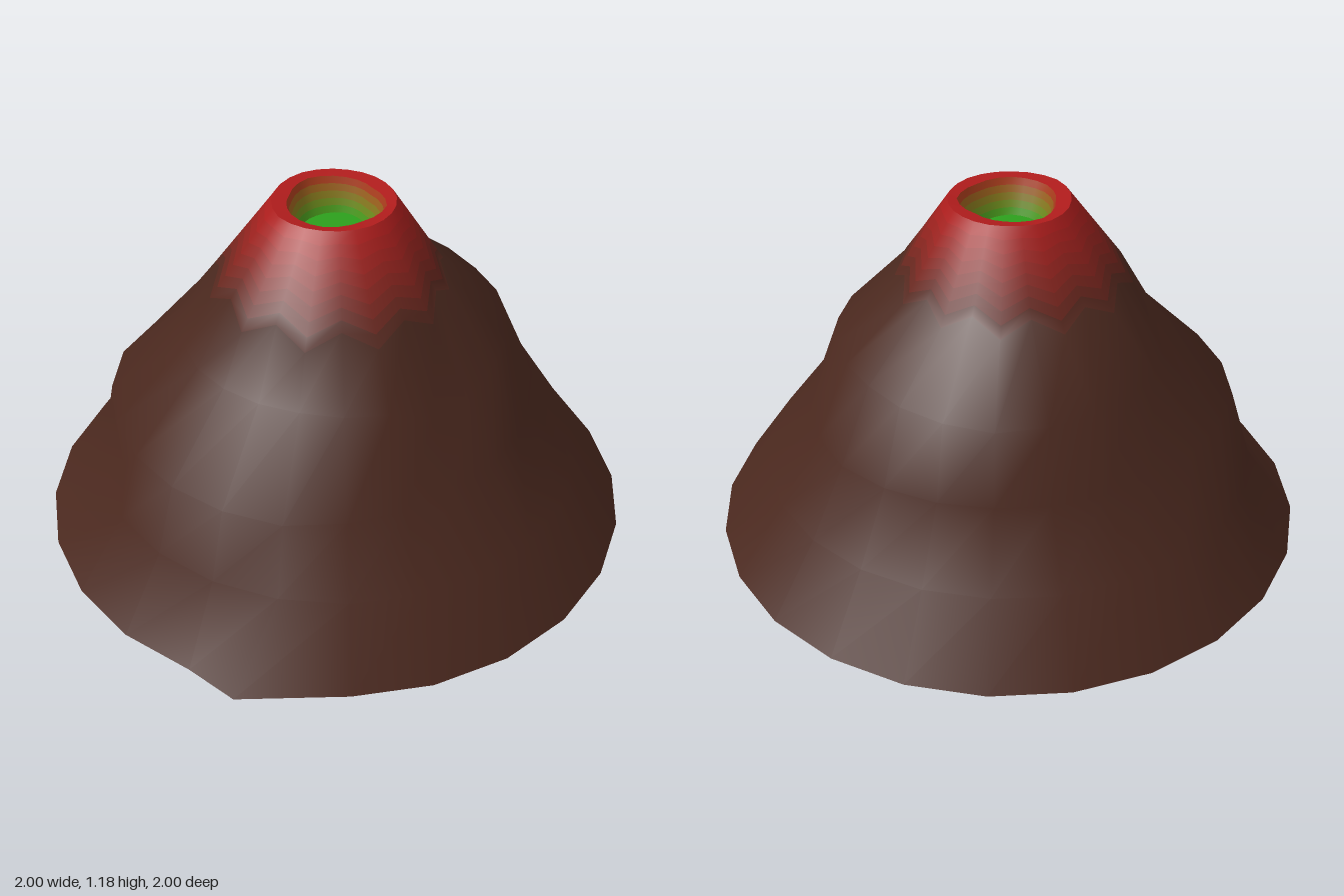
import * as THREE from 'three';

const SIDES = 24;
const BROWN = new THREE.Color(0x4a281e);
const RED = new THREE.Color(0xb01c1c);
const GREEN = new THREE.Color(0x2ca01c);

// One closed ring of points; radii are given for evenly spaced directions, from +x towards +z
function ring(radii, height) {
  return Array.from({ length: SIDES }, (_, i) => {
    const t = (i / SIDES) * radii.length, k = Math.floor(t);
    const r = THREE.MathUtils.lerp(radii[k % radii.length], radii[(k + 1) % radii.length], t - k);
    const a = (i / SIDES) * Math.PI * 2;
    return new THREE.Vector3(Math.cos(a) * r, height, Math.sin(a) * r);
  });
}

// Rings in between two rings, the end ring included
function blend(from, to, steps) {
  return Array.from({ length: steps }, (_, s) =>
    from.map((p, i) => p.clone().lerp(to[i], (s + 1) / steps)));
}

// Skin a stack of rings with smooth normals; colors[k] paints the band above ring k
function skin(name, rings, colors) {
  const group = new THREE.Group();
  group.name = name;
  const bandIndex = (k) => {
    const index = [];
    for (let i = 0; i < SIDES; i++) {
      const j = (i + 1) % SIDES;
      const a = k * SIDES + i, b = k * SIDES + j, c = a + SIDES, d = b + SIDES;
      index.push(a, c, b, b, c, d);
    }
    return index;
  };
  const bands = colors.map((_, k) => bandIndex(k));
  const whole = new THREE.BufferGeometry().setFromPoints(rings.flat());
  whole.setIndex(bands.flat());
  whole.computeVertexNormals();
  // Neighbouring bands of one colour become one mesh
  for (let k = 0; k < bands.length;) {
    const index = [];
    const color = colors[k];
    while (k < bands.length && colors[k] === color) index.push(...bands[k++]);
    const part = new THREE.BufferGeometry();
    part.setAttribute('position', whole.getAttribute('position'));
    part.setAttribute('normal', whole.getAttribute('normal'));
    part.setIndex(index);
    const mesh = new THREE.Mesh(part, new THREE.MeshStandardMaterial({ color }));
    mesh.name = name + 'Band' + (group.children.length + 1);
    group.add(mesh);
  }
  return group;
}

export function createModel() {
  const model = new THREE.Group();
  model.name = 'volcano';

  // Mountain cross-sections
  const foot = ring([1], 0);
  foot[9].set(-0.81, 0, 0.68);
  const low = ring([0.83, 0.83, 0.85, 0.84, 0.83, 0.83, 0.84, 0.83], 0.24);
  const middle = ring([0.70, 0.66, 0.68, 0.76, 0.76, 0.76, 0.68, 0.68], 0.47);
  const shoulder = ring([0.58, 0.57, 0.56, 0.52, 0.52, 0.50, 0.58, 0.64], 0.72);
  const neck = ring([0.34, 0.34, 0.39, 0.40, 0.39, 0.37, 0.36, 0.35], 0.94);
  const lip = ring([0.19, 0.195, 0.2, 0.2, 0.21, 0.2, 0.2, 0.19], 1.18);

  // Hollow under the ledge on one flank, and a small sag on the front
  for (const i of [13, 14]) low[i].multiply(new THREE.Vector3(0.9, 1.1, 0.9));
  for (const i of [5, 6]) shoulder[i].y = 0.66;
  // Uneven neck, so the glow ends in streaks
  neck.forEach((p, i) => {
    if (i % 2) p.set(p.x * 1.1, p.y - 0.05, p.z * 1.1);
  });

  // Slope, glowing red towards the lip
  const steps = 8;
  const glow = Array.from({ length: steps }, (_, s) => BROWN.clone().lerp(RED, (s + 0.5) / steps));
  model.add(skin('slope', [foot, low, middle, shoulder, neck, ...blend(neck, lip, steps)],
    [BROWN, BROWN, BROWN, BROWN, ...glow]));

  // Flat rim around the opening
  const mouth = ring([0.14, 0.165, 0.155, 0.17, 0.165, 0.15, 0.165, 0.15], 1.175);
  model.add(skin('rim', [lip, mouth], [RED]));

  // Crater wall, turning from red to green on the way down
  const floorEdge = ring([0.105, 0.12, 0.11, 0.125, 0.12, 0.115, 0.115, 0.12], 1.06);
  const wallSteps = 5;
  const wall = Array.from({ length: wallSteps }, (_, s) => RED.clone().lerp(GREEN, (s + 0.5) / wallSteps));
  model.add(skin('craterWall', [mouth, ...blend(mouth, floorEdge, wallSteps)], wall));

  // Crater floor and underside
  model.add(skin('craterFloor', [floorEdge, ring([0.001], 1.06)], [GREEN]));
  model.add(skin('underside', [ring([0.001], 0), foot], [BROWN]));

  return model;
}
